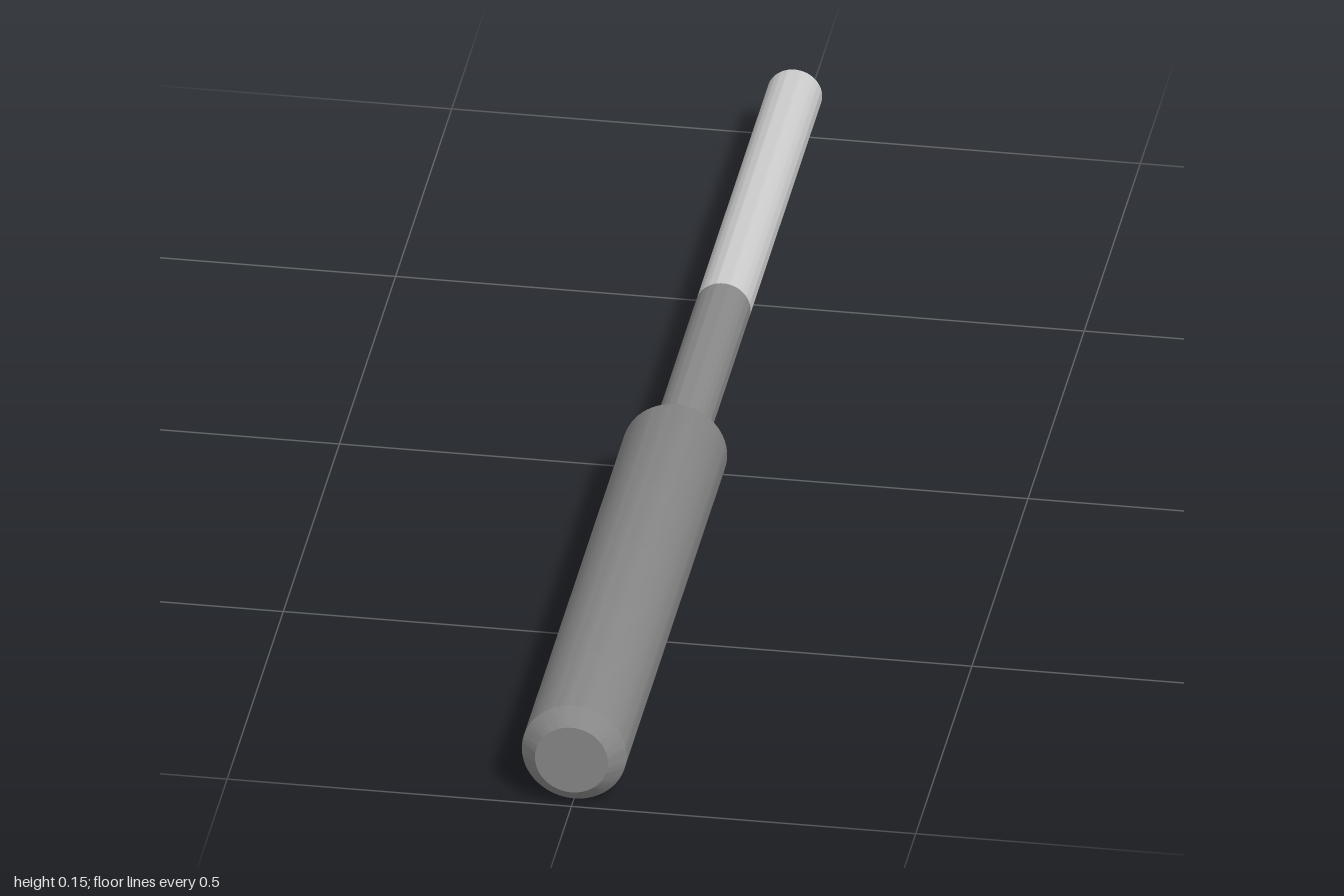
import * as THREE from 'three';
import { toCreasedNormals } from 'three/addons/utils/BufferGeometryUtils.js';

const HANDLE_R = 0.076, SHAFT_R = 0.04;

// Turns a profile of [radius, z] points, listed from back to front, around the z axis
function turned(name, profile, color) {
  const points = profile.map(([r, z]) => new THREE.Vector2(r, z));
  const lathe = new THREE.LatheGeometry(points, 64).rotateX(Math.PI / 2);
  const geometry = toCreasedNormals(lathe, Math.PI / 6);
  const mesh = new THREE.Mesh(geometry, new THREE.MeshStandardMaterial({ color }));
  mesh.name = name;
  mesh.position.y = HANDLE_R;
  return mesh;
}

// Quarter-circle points between two angles in the [radius, z] plane
function arc(r, z, radius, from, to, steps = 8) {
  return Array.from({ length: steps + 1 }, (_, i) => {
    const a = from + (to - from) * i / steps;
    return [r + radius * Math.cos(a), z + radius * Math.sin(a)];
  });
}

export function createModel() {
  const group = new THREE.Group();
  group.name = 'turnedTool';
  const dark = 0x888888, light = 0xcccccc;
  const round = 0.015, fillet = HANDLE_R - SHAFT_R - round, shoulderZ = 0.065;

  // Thick handle: neck fillet, rounded shoulder, chamfered front end
  group.add(turned('handle', [
    ...arc(SHAFT_R + fillet, shoulderZ - fillet, fillet, Math.PI, Math.PI / 2),
    ...arc(HANDLE_R - round, shoulderZ + round, round, -Math.PI / 2, 0).slice(1),
    [HANDLE_R, 0.976],
    [0.053, 1],
    [0, 1],
  ], dark));

  // Slim neck
  group.add(turned('neck', [[SHAFT_R, -0.35], [SHAFT_R, shoulderZ - fillet]], dark));

  // Bright rod with a shallow conical tip
  group.add(turned('rod', [[0, -1], [SHAFT_R, -0.988], [SHAFT_R, -0.35]], light));

  return group;
}
